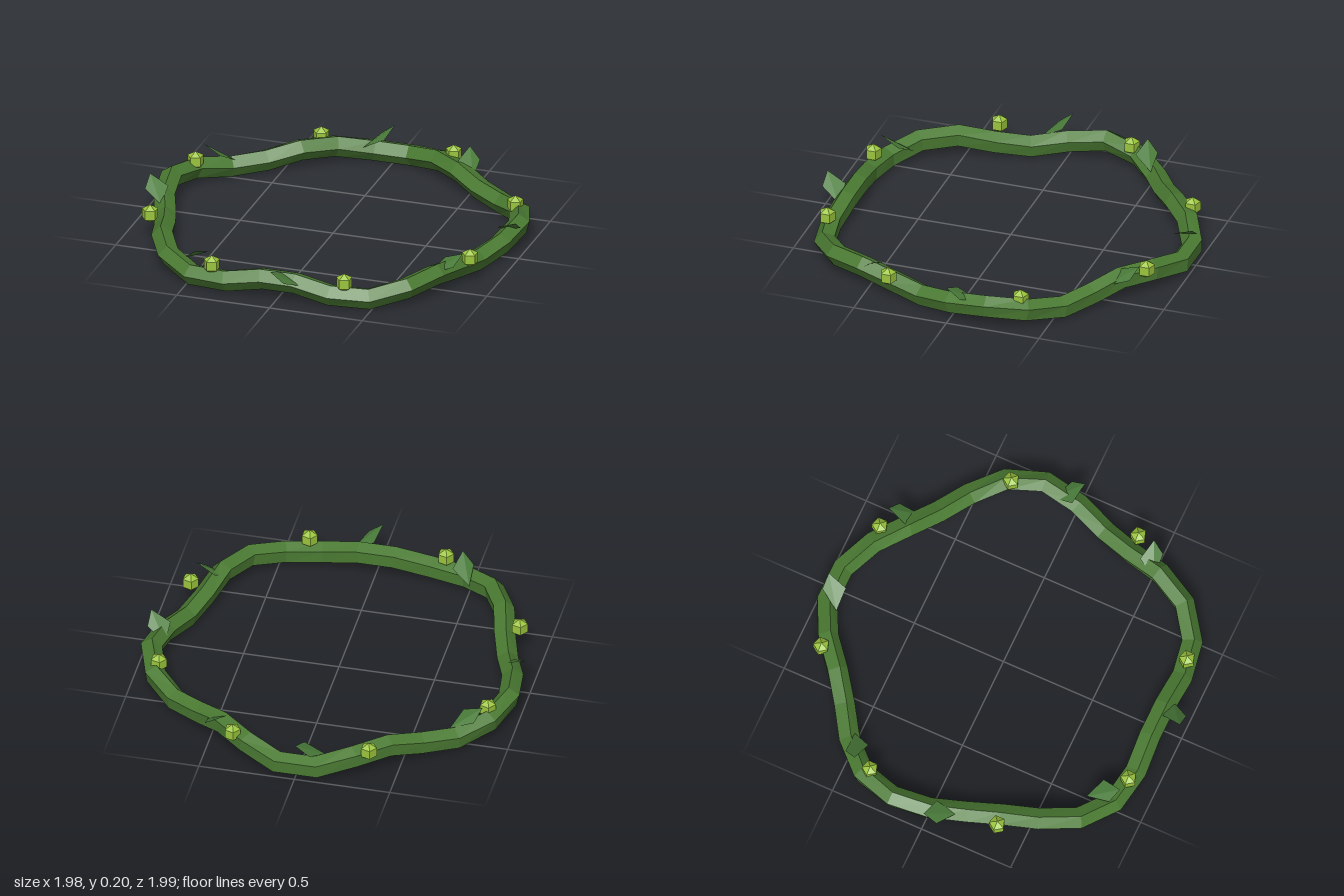
import * as THREE from 'three';

const mat = (name, color, side = THREE.FrontSide) =>
  Object.assign(new THREE.MeshStandardMaterial({ color, flatShading: true, side }), { name });

// Flat-shaded geometry from points and triangle indices
function faceted(points, index) {
  const g = new THREE.BufferGeometry().setFromPoints(points);
  g.setIndex(index);
  const flat = g.toNonIndexed();
  flat.computeVertexNormals();
  return flat;
}

const polar = (angle, r, y) => new THREE.Vector3(r * Math.cos(angle), y, r * Math.sin(angle) + 0.005);

// Centre line of the vine: five lobes outward, seven waves up and down
const vinePoint = (a) => polar(a, 0.908 - 0.058 * Math.sin(5 * a), 0.076 - 0.026 * Math.sin(7 * a));

// Closed five-sided tube that turns slightly as it goes round
function vineGeometry(segments = 30, sides = 5, radius = 0.058) {
  const points = [], index = [];
  const up = new THREE.Vector3(0, 1, 0);
  for (let i = 0; i < segments; i++) {
    const a = (i / segments) * Math.PI * 2;
    const tangent = vinePoint(a + 0.1).sub(vinePoint(a - 0.1)).normalize();
    const out = new THREE.Vector3().crossVectors(up, tangent).normalize();
    const rise = new THREE.Vector3().crossVectors(tangent, out);
    const turn = (Math.PI / 10) * (1 - Math.sin(a));
    for (let j = 0; j < sides; j++) {
      const v = turn + (j / sides) * Math.PI * 2;
      points.push(vinePoint(a)
        .addScaledVector(out, radius * Math.cos(v))
        .addScaledVector(rise, radius * Math.sin(v)));
      const j2 = (j + 1) % sides, n = ((i + 1) % segments) * sides, c = i * sides;
      index.push(c + j, c + j2, n + j, c + j2, n + j2, n + j);
    }
  }
  // Outward check: flip the winding if the enclosed volume is negative
  let volume = 0;
  for (let k = 0; k < index.length; k += 3) {
    const [p, q, r] = [points[index[k]], points[index[k + 1]], points[index[k + 2]]];
    volume += p.dot(new THREE.Vector3().crossVectors(q, r));
  }
  if (volume < 0) index.reverse();
  return faceted(points, index);
}

// Diamond leaf: tip, outer corner, base, inner corner as [distance behind tip, radius, height]
const LEAF = [[0, 0.985, 0.195], [0.07, 0.99, 0.14], [0.145, 0.89, 0.092], [0.025, 0.878, 0.15]];
function leafGeometry(tipAngle, heading, inset) {
  const points = LEAF.map(([s, r, y]) => polar(tipAngle - heading * s / 0.94, r - inset, y));
  const index = [0, 1, 2, 0, 2, 3];
  return faceted(points, heading > 0 ? index : index.reverse());
}

export function createModel() {
  const model = new THREE.Group();
  model.name = 'vineWreath';
  const vineMat = mat('vine green', 0x4a7a32);
  const leafMat = mat('leaf green', 0x4a7c3a, THREE.DoubleSide);
  const budMat = mat('bud lime', 0x9bc53d);

  const add = (name, geometry, material) => {
    const mesh = new THREE.Mesh(geometry, material);
    mesh.name = name;
    model.add(mesh);
    return mesh;
  };

  add('vine', vineGeometry(), vineMat);

  // Leaves in four pairs facing opposite ways along the vine
  for (let k = 0; k < 4; k++) {
    const a = (k * Math.PI) / 2;
    add('leaf', leafGeometry(a, 1, 0), leafMat);
    add('leaf', leafGeometry(a + 0.482, -1, 0.02), leafMat);
  }

  // Eight buds spaced evenly round the ring
  const budGeometry = new THREE.SphereGeometry(0.049, 5, 3);
  for (let k = 0; k < 8; k++) {
    add('bud', budGeometry, budMat).position.copy(polar(((k + 0.5) * Math.PI) / 4, 0.933, 0.137));
  }
  return model;
}
